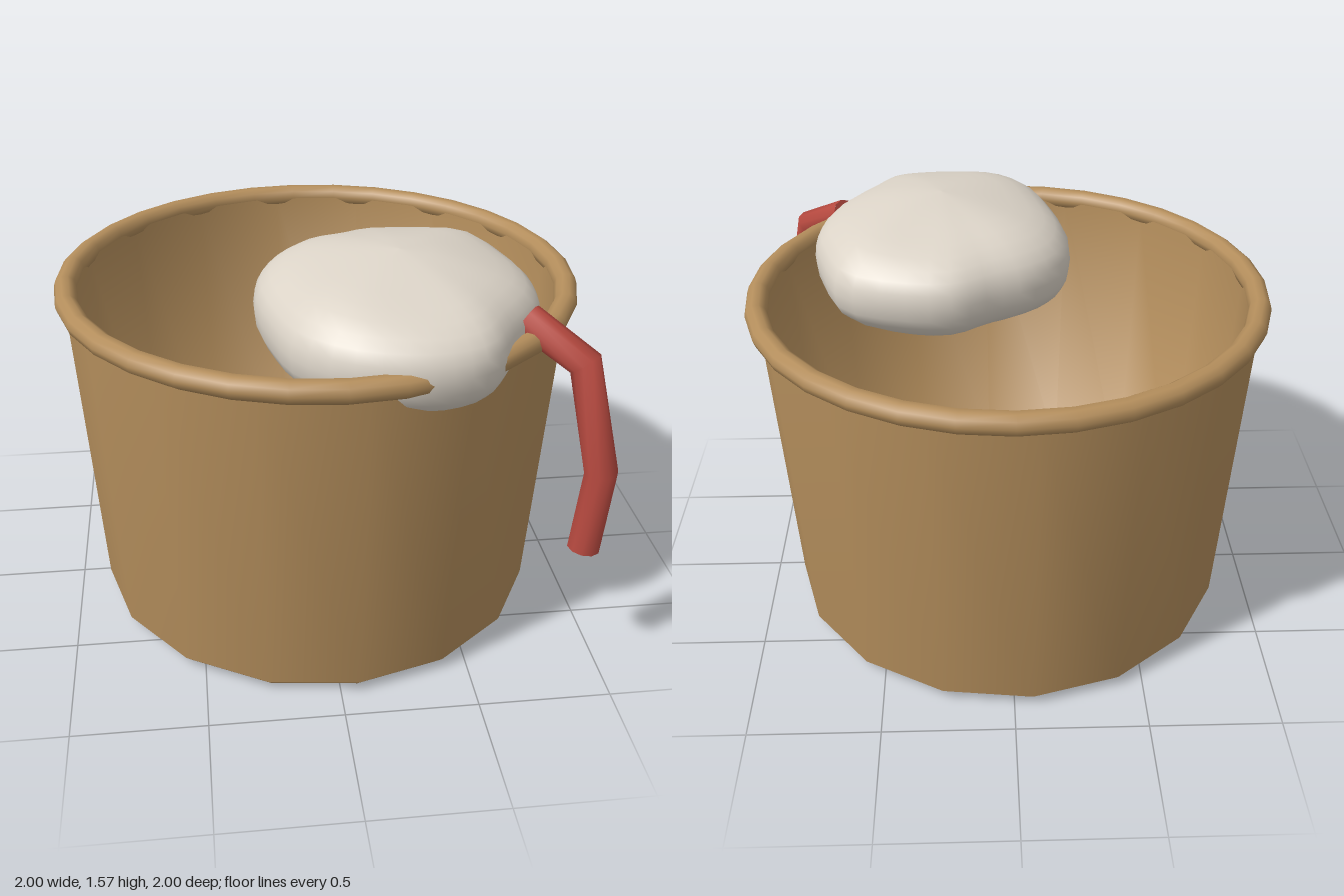
import * as THREE from 'three';

const wood = new THREE.MeshStandardMaterial({ name: 'tan', color: 0xb48e5c });
const cream = new THREE.MeshStandardMaterial({ name: 'cream', color: 0xdcd4c8 });
const red = new THREE.MeshStandardMaterial({ name: 'red', color: 0xb84a40 });

function add(parent, name, geometry, material) {
  const mesh = new THREE.Mesh(geometry, material);
  mesh.name = name;
  parent.add(mesh);
  return mesh;
}

// Straight-sided path that bends at each point
class BentPath extends THREE.Curve {
  constructor(points) {
    super();
    this.points = points;
  }
  getPoint(t, target = new THREE.Vector3()) {
    const n = this.points.length - 1;
    const i = Math.min(Math.floor(t * n + 1e-9), n - 1);
    return target.lerpVectors(this.points[i], this.points[i + 1], t * n - i);
  }
  getTangent(t, target = new THREE.Vector3()) {
    const n = this.points.length - 1;
    const p = this.points;
    const i = Math.round(t * n);
    const before = p[i].clone().sub(p[Math.max(i - 1, 0)]).normalize();
    const after = p[Math.min(i + 1, n)].clone().sub(p[i]).normalize();
    return target.copy(before.add(after)).normalize();
  }
  getPointAt(t, target) { return this.getPoint(t, target); }
  getTangentAt(t, target) { return this.getTangent(t, target); }
}

// Soft lump: a plan outline swept over a rounded, flattened profile
function lumpGeometry() {
  const outline = new THREE.CatmullRomCurve3([
    [0.2, 0.95], [0.37, 0.945], [0.5, 0.89], [0.6, 0.74], [0.74, 0.53], [0.77, 0.33], [0.73, 0.15],
    [0.63, -0.08], [0.4, -0.17], [0.2, -0.18], [0.05, -0.1], [-0.1, -0.03],
    [-0.22, 0.1], [-0.26, 0.3], [-0.22, 0.55], [-0.15, 0.75], [0, 0.89],
  ].map(([x, z]) => new THREE.Vector3(x, 0, z)), true);
  const cx = 0.255, cy = 1.335, cz = 0.385, rings = 18, around = 40;
  const positions = [], index = [];
  for (let i = 0; i <= rings; i++) {
    const a = (i / rings) * Math.PI;
    const p = i <= rings / 2 ? 2.3 : 2.5;
    const reach = Math.pow(Math.sin(a), 2 / p);
    const rise = Math.sign(Math.cos(a)) * Math.pow(Math.abs(Math.cos(a)), 2 / p);
    for (let j = 0; j < around; j++) {
      const o = outline.getPoint(j / around);
      const x = cx + (o.x - cx) * reach, z = cz + (o.z - cz) * reach;
      const bump = 0.012 * Math.sin(9 * x + 2) * Math.cos(8 * z);
      positions.push(x, cy + rise * (rise > 0 ? 0.228 : 0.23) + bump * Math.abs(rise), z);
      if (i < rings) {
        const k = (j + 1) % around, u = i * around, l = u + around;
        index.push(u + j, l + j, l + k, u + j, l + k, u + k);
      }
    }
  }
  const geometry = new THREE.BufferGeometry();
  geometry.setAttribute('position', new THREE.Float32BufferAttribute(positions, 3));
  geometry.setIndex(index);
  geometry.computeVertexNormals();
  return geometry;
}

export function createModel() {
  const model = new THREE.Group();
  model.name = 'bucket';

  // Hollow tapered body with a bevelled foot
  const profile = [
    [0, 0], [0.84, 0], [0.885, 0.045], [0.963, 1.32], [0.925, 1.32], [0.845, 0.06], [0, 0.06],
  ].map(([x, y]) => new THREE.Vector2(x, y));
  add(model, 'body', new THREE.LatheGeometry(profile, 16, 0.08), wood);

  // Rolled rim
  const rim = add(model, 'rim', new THREE.TorusGeometry(0.955, 0.043, 10, 32), wood);
  rim.rotation.x = Math.PI / 2;
  rim.position.y = 1.323;

  // Lump resting over the rim
  add(model, 'lump', lumpGeometry(), cream);

  // Bent handle with closed ends
  const handle = new THREE.Group();
  handle.name = 'handle';
  model.add(handle);
  const points = [[0.67, 1.385, 0.615], [0.84, 1.28, 0.765], [0.92, 0.88, 0.828], [0.89, 0.56, 0.828]]
    .map((p) => new THREE.Vector3(...p));
  const path = new BentPath(points);
  add(handle, 'handleTube', new THREE.TubeGeometry(path, 3, 0.06, 10), red);
  for (const t of [0, 1]) {
    const cap = add(handle, 'handleEnd', new THREE.CircleGeometry(0.06, 10), red);
    const outward = path.getTangent(t).multiplyScalar(t ? 1 : -1);
    cap.position.copy(points[t * 3]);
    cap.quaternion.setFromUnitVectors(new THREE.Vector3(0, 0, 1), outward);
  }
  return model;
}
